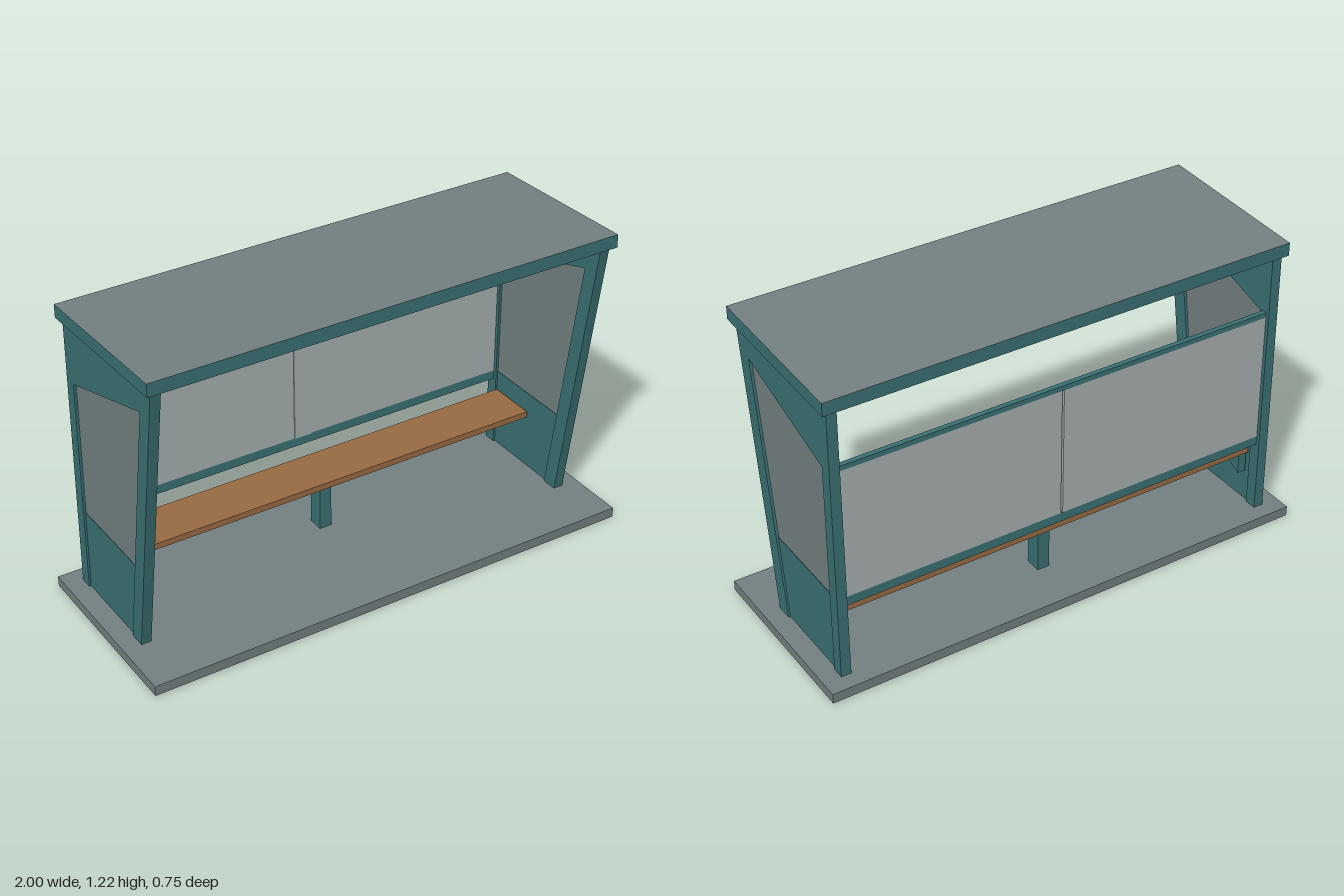
import * as THREE from 'three';

const material = (name, color) => {
  const m = new THREE.MeshStandardMaterial({ color });
  m.name = name;
  return m;
};

export function createModel() {
  const teal = material('teal paint', 0x3b7275);
  const grey = material('grey surface', 0x748182);
  const pale = material('pale panel', 0xa9b3b2);
  const wood = material('bench wood', 0x9a6c43);

  const model = new THREE.Group();
  model.name = 'busShelter';

  const add = (name, geometry, mat) => {
    const mesh = new THREE.Mesh(geometry, mat);
    mesh.name = name;
    model.add(mesh);
    return mesh;
  };

  // Box given by its lower and upper limits on each axis
  const box = (name, mat, [x0, x1], [y0, y1], [z0, z1]) =>
    add(name, new THREE.BoxGeometry(x1 - x0, y1 - y0, z1 - z0)
      .translate((x0 + x1) / 2, (y0 + y1) / 2, (z0 + z1) / 2), mat);

  // Side profile of [z, y] points, extruded from x0 to x1
  const profile = (name, mat, points, x0, x1) => {
    const shape = new THREE.Shape(points.map(([z, y]) => new THREE.Vector2(z, y)));
    const geometry = new THREE.ExtrudeGeometry(shape, { depth: x1 - x0, bevelEnabled: false });
    return add(name, geometry.rotateY(-Math.PI / 2).translate(x1, 0, 0), mat);
  };

  // Ground slab
  box('base', grey, [-1, 1], [0, 0.04], [-0.375, 0.375]);

  // Roof: box sheared to slope down to the back, grey on its top face
  const roof = new THREE.BoxGeometry(1.9, 0.052, 0.665).translate(0, 1.1835, 0.0075);
  const p = roof.attributes.position;
  for (let i = 0; i < p.count; i++) p.setY(i, p.getY(i) + (p.getZ(i) - 0.0075) * 0.038);
  roof.computeVertexNormals();
  add('roof', roof, [teal, teal, grey, teal, teal, teal]);

  // Side walls: frame with leaning front post, recessed infills, bench bracket
  const frame = [
    [0.145, 0.04], [0.322, 1.17], [-0.31, 1.147], [-0.31, 0.04],
    [-0.26, 0.04], [-0.26, 0.905], [0.24, 1.058], [0.08, 0.04],
  ];
  const windowPane = [[0.13, 0.365], [0.24, 1.058], [-0.26, 0.905], [-0.26, 0.365]];
  const lowerPanel = [[0.08, 0.04], [0.13, 0.365], [-0.26, 0.365], [-0.26, 0.04]];
  const bracket = [[-0.06, 0.265], [-0.24, 0.265], [-0.24, 0.175]];
  for (const [side, s] of [['left', 1], ['right', -1]]) {
    const wall = (name, mat, points, a, b) =>
      profile(side + name, mat, points, Math.min(s * a, s * b), Math.max(s * a, s * b));
    wall('SideFrame', teal, frame, 0.89, 0.93);
    wall('SideWindow', grey, windowPane, 0.9, 0.92);
    wall('SideLowerPanel', teal, lowerPanel, 0.898, 0.922);
    wall('BenchBracket', teal, bracket, 0.855, 0.89);

    // Back sheet, leaving a narrow gap at the centre
    const [a, b] = s > 0 ? [0.004, 0.89] : [-0.89, -0.004];
    box(side + 'BackPanel', pale, [a, b], [0.365, 0.89], [-0.295, -0.275]);
  }

  // Back rails and the strip covering the joint
  box('lowerBackRail', teal, [-0.89, 0.89], [0.328, 0.365], [-0.295, -0.275]);
  box('upperBackRail', teal, [-0.89, 0.89], [0.89, 0.91], [-0.295, -0.275]);
  box('jointStrip', pale, [-0.037, 0.037], [0.365, 0.89], [-0.275, -0.271]);

  // Bench
  box('benchSeat', wood, [-0.89, 0.89], [0.265, 0.29], [-0.25, -0.05]);
  box('benchLeg', teal, [-0.025, 0.025], [0.04, 0.265], [-0.18, -0.115]);

  return model;
}
